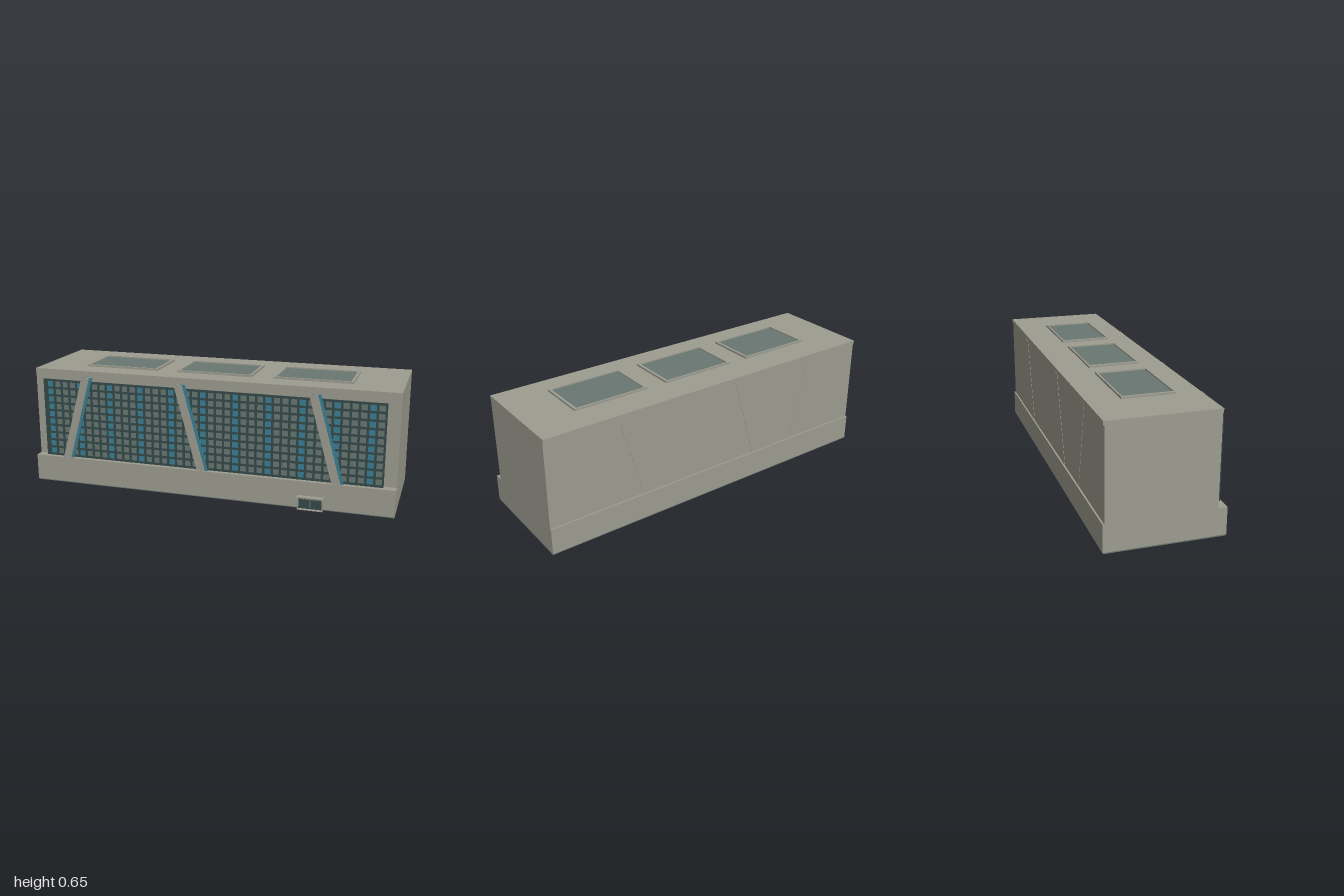
import * as THREE from 'three';

const mat = (name, color) => {
  const m = new THREE.MeshStandardMaterial({ color });
  m.name = name;
  return m;
};

export function createModel() {
  const wall = mat('concrete', 0x9c9c90);
  const glass = mat('greyGlass', 0x687771);
  const dark = mat('darkFrame', 0x364a4a);
  const blue = mat('bluePanel', 0x3a7f95);

  const building = new THREE.Group();
  building.name = 'building';

  const group = (name) => {
    const g = new THREE.Group();
    g.name = name;
    building.add(g);
    return g;
  };

  // Box given by its limits on each axis
  const box = (parent, name, m, x0, x1, y0, y1, z0, z1) => {
    const mesh = new THREE.Mesh(new THREE.BoxGeometry(x1 - x0, y1 - y0, z1 - z0), m);
    mesh.position.set((x0 + x1) / 2, (y0 + y1) / 2, (z0 + z1) / 2);
    mesh.name = name;
    parent.add(mesh);
  };

  // Slanted bar: parallelogram in x and y, extruded along z
  const slantBar = (parent, name, m, xBottom, xTop, width, y0, y1, z0, z1) => {
    const s = new THREE.Shape([
      new THREE.Vector2(xBottom, y0), new THREE.Vector2(xBottom + width, y0),
      new THREE.Vector2(xTop + width, y1), new THREE.Vector2(xTop, y1),
    ]);
    const mesh = new THREE.Mesh(
      new THREE.ExtrudeGeometry(s, { depth: z1 - z0, bevelEnabled: false }), m);
    mesh.position.z = z0;
    mesh.name = name;
    parent.add(mesh);
  };

  // Main volumes
  box(building, 'foundation', glass, -1, 1, 0, 0.006, -0.318, 0.286);
  box(building, 'base', wall, -1, 1, 0.006, 0.148, -0.32, 0.29);
  box(building, 'body', wall, -1, 1, 0.148, 0.618, -0.311, 0.243);
  box(building, 'cornice', wall, -1, 1, 0.618, 0.639, -0.316, 0.247);

  // Front screen: glass backing, lattice bars and blue strips
  const screen = group('windowScreen');
  const L = -0.94, R = 0.936, B = 0.152, T = 0.589;
  const columns = 42, rows = 10, pitch = 0.0441, firstX = -0.898;
  box(screen, 'screenGlass', glass, L, R, B, T, 0.268, 0.2715);
  for (let i = 0; i <= columns; i++) {
    const x = firstX + (i - 0.5) * pitch;
    const x0 = i === 0 ? L : x - 0.006;
    const x1 = i === columns ? R : x + 0.006;
    box(screen, 'mullion', dark, x0, x1, B, T, 0.2685, 0.277);
  }
  for (let j = 0; j <= rows; j++) {
    const y = B + 0.006 + (j * (T - B - 0.012)) / rows;
    box(screen, 'transom', dark, L + 0.001, R - 0.001, y - 0.006, y + 0.006, 0.2688, 0.2765);
  }
  for (let i = 0; i < columns; i += 4) {
    const x = firstX + i * pitch;
    box(screen, 'blueStrip', blue, x - 0.018, x + 0.018, B + 0.002, T - 0.002, 0.27, 0.2745);
  }

  // Slanted braces: [bottom x, top x], with a blue bar behind each
  const braces = group('braces');
  for (const [xb, xt] of [[-0.835, -0.705], [-0.05, -0.175], [0.675, 0.545]]) {
    slantBar(braces, 'brace', wall, xb, xt, 0.045, 0.148, 0.61, 0.281, 0.286);
    slantBar(braces, 'braceBacking', blue, xb + 0.004, xt + 0.004, 0.057, 0.148, 0.61, 0.274, 0.281);
  }

  // Shallow slanted ribs on the back wall
  const ribs = group('backRibs');
  for (const [xb, xt] of [[-0.574, -0.685], [-0.305, -0.17], [0.416, 0.548]]) {
    slantBar(ribs, 'backRib', wall, xb, xt, 0.045, 0.148, 0.61, -0.3125, -0.31);
  }

  // Roof lights
  for (const cx of [-0.536, -0.003, 0.533]) {
    const light = group('skylight');
    const x0 = cx - 0.21, x1 = cx + 0.21, z0 = -0.152, z1 = 0.121;
    box(light, 'skylightGlass', glass, x0 + 0.01, x1 - 0.01, 0.639, 0.643, z0 + 0.006, z1 - 0.006);
    for (const x of [x0, x1 - 0.014]) {
      box(light, 'skylightSide', wall, x, x + 0.014, 0.639, 0.65, z0, z1);
    }
    for (const z of [z0, z1 - 0.009]) {
      box(light, 'skylightEnd', wall, x0 + 0.014, x1 - 0.014, 0.639, 0.65, z, z + 0.009);
    }
  }

  // Entrance with canopy, jambs, double doors and step
  const entrance = group('entrance');
  box(entrance, 'canopy', wall, 0.5, 0.64, 0.067, 0.072, 0.29, 0.32);
  for (const x of [0.503, 0.631]) box(entrance, 'jamb', wall, x, x + 0.006, 0.003, 0.067, 0.29, 0.303);
  box(entrance, 'doorGlass', dark, 0.509, 0.631, 0.003, 0.067, 0.29, 0.296);
  box(entrance, 'doorPost', glass, 0.568, 0.572, 0.003, 0.067, 0.296, 0.299);
  box(entrance, 'doorHead', glass, 0.509, 0.631, 0.054, 0.057, 0.296, 0.2985);
  box(entrance, 'step', wall, 0.503, 0.637, 0, 0.003, 0.286, 0.313);

  return building;
}
